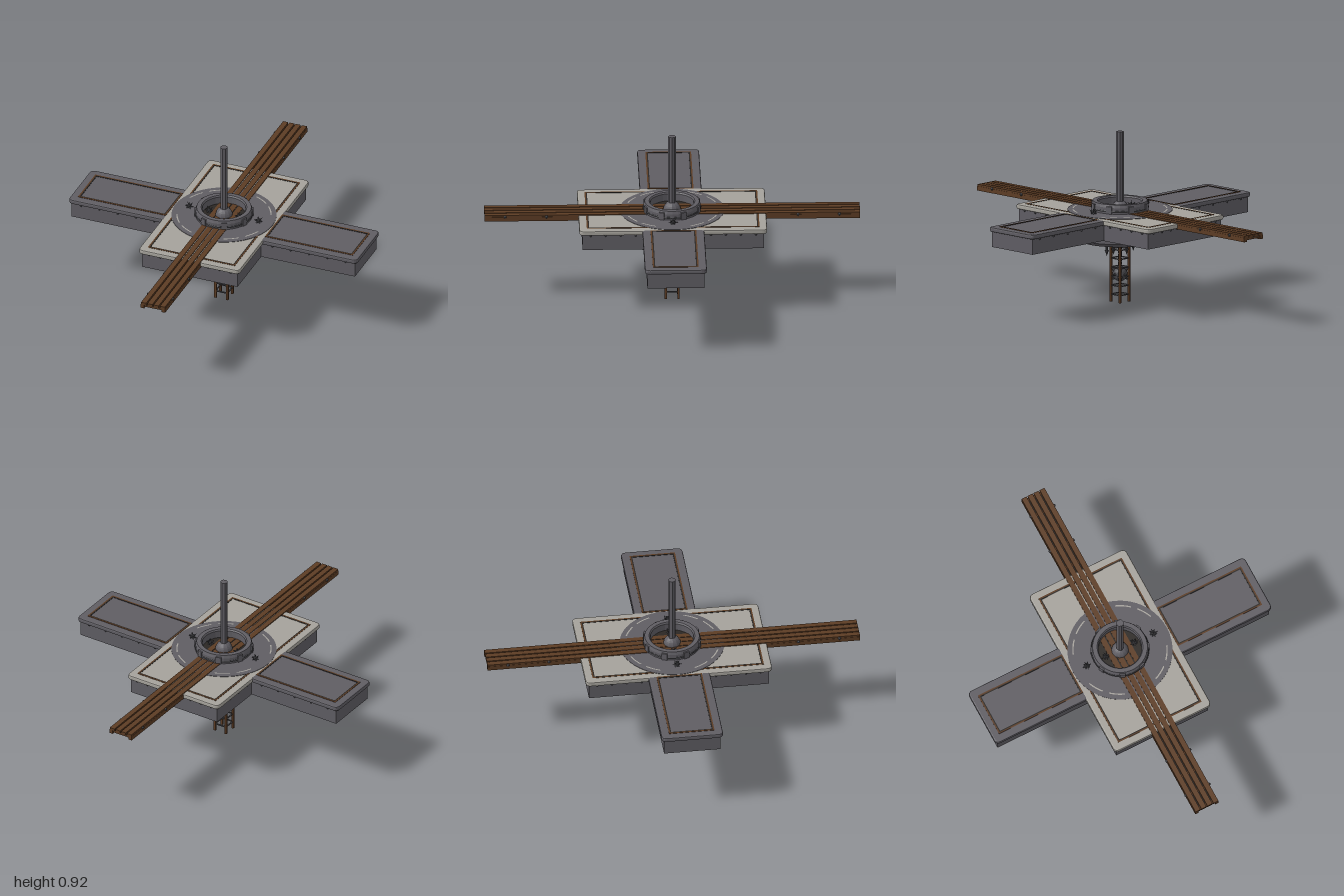
import * as THREE from 'three';

const mat = (name, color) => {
  const m = new THREE.MeshStandardMaterial({ color, flatShading: true });
  m.name = name;
  return m;
};

export function createModel() {
  const root = new THREE.Group();
  root.name = 'spikedTrapPlatform';
  const stone = mat('dark stone', 0x5f5d63);
  const pale = mat('pale stone', 0xa5a29b);
  const wood = mat('wood', 0x5c3c24);
  const iron = mat('iron', 0x48484c);
  const dark = mat('dark groove', 0x2b2724);

  const add = (name, geo, m, x = 0, y = 0, z = 0, parent = root) => {
    const mesh = new THREE.Mesh(geo, m);
    mesh.name = name;
    mesh.position.set(x, y, z);
    parent.add(mesh);
    return mesh;
  };
  const box = (name, m, w, h, d, x, y, z, parent) =>
    add(name, new THREE.BoxGeometry(w, h, d), m, x, y, z, parent);

  // Rounded, bevelled slab lying flat with its bottom at y0
  const lip = (name, m, w, d, y0, h, x, z) => {
    const r = 0.02, b = 0.007, a = w / 2 - b, c = d / 2 - b;
    const s = new THREE.Shape();
    s.moveTo(-a + r, -c).lineTo(a - r, -c).quadraticCurveTo(a, -c, a, -c + r);
    s.lineTo(a, c - r).quadraticCurveTo(a, c, a - r, c).lineTo(-a + r, c);
    s.quadraticCurveTo(-a, c, -a, c - r).lineTo(-a, -c + r).quadraticCurveTo(-a, -c, -a + r, -c);
    const g = new THREE.ExtrudeGeometry(s, {
      depth: h - 2 * b, bevelThickness: b, bevelSize: b, bevelSegments: 2, curveSegments: 4,
    });
    g.rotateX(-Math.PI / 2);
    add(name, g, m, x, y0 + b, z);
  };

  // Thin rectangular border inlaid in a top face
  const border = (name, m, x0, x1, zh, t) => {
    const w = x1 - x0, cx = (x0 + x1) / 2;
    for (const s of [-1, 1]) {
      box(name, m, w, 0.003, t, cx, 0.5, s * (zh - t / 2));
      box(name, m, t, 0.003, 2 * zh, s > 0 ? x1 - t / 2 : x0 + t / 2, 0.5, 0);
    }
  };

  // Central slab
  box('centreBody', stone, 0.55, 0.09, 0.966, 0, 0.433, 0);
  lip('centreTop', pale, 0.58, 1.0, 0.474, 0.026, 0, 0);
  border('centreBorder', wood, -0.25, 0.25, 0.46, 0.007);
  border('centreGroove', dark, -0.243, 0.243, 0.453, 0.006);

  // Side arms
  for (const s of [-1, 1]) {
    box('armBody', stone, 0.56, 0.088, 0.304, s * 0.535, 0.434, 0);
    lip('armTop', stone, 0.56, 0.33, 0.474, 0.0255, s * 0.55, 0);
    const e = [s * 0.285, s * 0.79].sort((a, b) => a - b);
    border('armBorder', wood, e[0], e[1], 0.122, 0.007);
    border('armGroove', dark, e[0] + 0.007, e[1] - 0.007, 0.115, 0.006);
  }

  // Rivets under the lips
  const rivet = new THREE.SphereGeometry(0.006, 6, 4);
  for (const s of [-1, 1]) for (const t of [-1, 1]) {
    for (let i = 0; i < 5; i++) add('armRivet', rivet, iron, s * (0.34 + i * 0.105), 0.469, t * 0.153);
    for (let i = 0; i < 4; i++) {
      add('sideRivet', rivet, iron, s * 0.276, 0.469, t * (0.2 + i * 0.08));
      add('endRivet', rivet, iron, s * (0.04 + i * 0.065), 0.469, t * 0.484);
    }
  }

  // Round floor plate with broken pale arcs
  add('floorPlate', new THREE.CylinderGeometry(0.28, 0.28, 0.01, 48), stone, 0, 0.497, 0);
  for (let i = 0; i < 4; i++) for (const k of [-1, 1]) {
    const a = Math.PI / 4 + i * Math.PI / 2 + k * 0.24;
    const arc = new THREE.RingGeometry(0.247, 0.254, 10, 1, a - 0.17, 0.34);
    arc.rotateX(-Math.PI / 2);
    add('floorArc', arc, pale, 0, 0.5035, 0);
  }

  // Tapered disc beneath the platform
  const P = (...a) => a.map(([x, y]) => new THREE.Vector2(x, y));
  add('underDisc', new THREE.LatheGeometry(P(
    [0, 0.325], [0.12, 0.327], [0.22, 0.337], [0.265, 0.358], [0.272, 0.362],
    [0.272, 0.385], [0.262, 0.392], [0, 0.392]), 40), stone);
  add('underSocket', new THREE.CylinderGeometry(0.06, 0.05, 0.012, 16), dark, 0, 0.322, 0);

  // Raised collar around the pole
  add('collar', new THREE.LatheGeometry(P(
    [0.152, 0.495], [0.152, 0.535], [0.146, 0.551], [0.122, 0.551],
    [0.116, 0.543], [0.116, 0.495]), 32), stone);
  const band = new THREE.TorusGeometry(0.151, 0.005, 6, 32);
  band.rotateX(Math.PI / 2);
  add('collarBand', band, iron, 0, 0.515, 0);
  for (let i = 0; i < 8; i++) {
    const a = (i + 0.5) * Math.PI / 4;
    const block = box('collarBlock', stone, 0.014, 0.04, 0.03, Math.cos(a) * 0.15, 0.522, Math.sin(a) * 0.15);
    block.rotation.y = -a;
  }
  const floor = new THREE.CircleGeometry(0.117, 32);
  floor.rotateX(-Math.PI / 2);
  add('collarFloor', floor, dark, 0, 0.5025, 0);

  // Long plank walkway on two beams with cross bars
  for (const x of [-0.054, -0.018, 0.018, 0.054])
    box('plank', wood, 0.029, 0.014, 2, x, 0.498, 0);
  for (const s of [-1, 1]) {
    box('beam', wood, 0.02, 0.024, 2, s * 0.06, 0.483, 0);
    for (const z of [0.55, 0.67, 0.78, 0.89, 0.985]) box('crossBar', wood, 0.12, 0.012, 0.02, 0, 0.485, s * z);
    for (const z of [0.67, 0.89]) for (const t of [-1, 1])
      add('bolt', new THREE.SphereGeometry(0.008, 8, 6), iron, t * 0.07, 0.495, s * z);
    box('walkwayUnderside', dark, 0.11, 0.004, 0.5, 0, 0.489, s * 0.745);
  }

  // Pole on its domed base
  add('pole', new THREE.CylinderGeometry(0.02, 0.02, 0.42, 8), stone, 0, 0.713, 0);
  add('poleBase', new THREE.SphereGeometry(0.046, 12, 8, 0, Math.PI * 2, 0, Math.PI / 2), stone, 0, 0.504, 0);

  // Ball with spikes along a set of directions
  const up = new THREE.Vector3(0, 1, 0);
  const spiky = (name, r, len, base, dirs, x, y, z) => {
    const g = new THREE.Group();
    g.name = name;
    g.position.set(x, y, z);
    add('core', new THREE.IcosahedronGeometry(r, 2), iron, 0, 0, 0, g);
    for (const d of dirs) {
      const v = new THREE.Vector3(...d).normalize();
      const spike = add('spike', new THREE.ConeGeometry(base, len, 6), iron, 0, 0, 0, g);
      spike.position.copy(v).multiplyScalar(r + len * 0.4);
      spike.quaternion.setFromUnitVectors(up, v);
    }
    root.add(g);
  };
  const axes = [[1, 0, 0], [-1, 0, 0], [0, 1, 0], [0, -1, 0], [0, 0, 1], [0, 0, -1]];
  const diagonals = [];
  for (const x of [-1, 1]) for (const y of [-1, 1]) for (const z of [-1, 1]) diagonals.push([x, y, z]);
  spiky('spikedBall', 0.04, 0.02, 0.009, [...axes, ...diagonals], 0, 0.15, 0);
  for (const x of [-0.2, -0.085, 0.085, 0.2])
    spiky('caltrop', 0.01, 0.018, 0.005, [...axes, ...diagonals], x, 0.511, 0);

  // Chain holding the ball
  for (let i = 0; i < 6; i++) {
    const link = add('chainLink', new THREE.TorusGeometry(0.011, 0.0035, 6, 12), iron, 0, 0.207 + i * 0.021, 0);
    link.rotation.y = i % 2 ? Math.PI / 2 : 0;
    link.scale.y = 1.25;
  }

  // Hanging spikes in a ring
  const hang = (r, n) => {
    for (let i = 0; i < n; i++) {
      const a = i * Math.PI * 2 / n, x = Math.cos(a) * r, z = Math.sin(a) * r;
      add('spikeShaft', new THREE.CylinderGeometry(0.007, 0.007, 0.04, 8), iron, x, 0.312, z);
      const tip = add('spikeTip', new THREE.ConeGeometry(0.011, 0.032, 8), iron, x, 0.276, z);
      tip.rotation.x = Math.PI;
    }
  };
  for (const x of [-0.1, 0.1]) {
    add('spikeShaft', new THREE.CylinderGeometry(0.007, 0.007, 0.04, 8), iron, x, 0.312, 0);
    add('spikeTip', new THREE.ConeGeometry(0.011, 0.032, 8), iron, x, 0.276, 0).rotation.x = Math.PI;
  }
  hang(0.05, 4);

  // Four-post ladder frame with rungs
  for (const s of [-1, 1]) {
    for (const t of [-1, 1]) box('ladderPost', wood, 0.012, 0.33, 0.012, s * 0.034, 0.165, t * 0.034);
    for (let y = 0.04; y < 0.32; y += 0.049) {
      box('rung', iron, 0.068, 0.006, 0.006, 0, y, s * 0.034);
      box('rung', iron, 0.006, 0.006, 0.068, s * 0.034, y, 0);
    }
  }
  return root;
}
